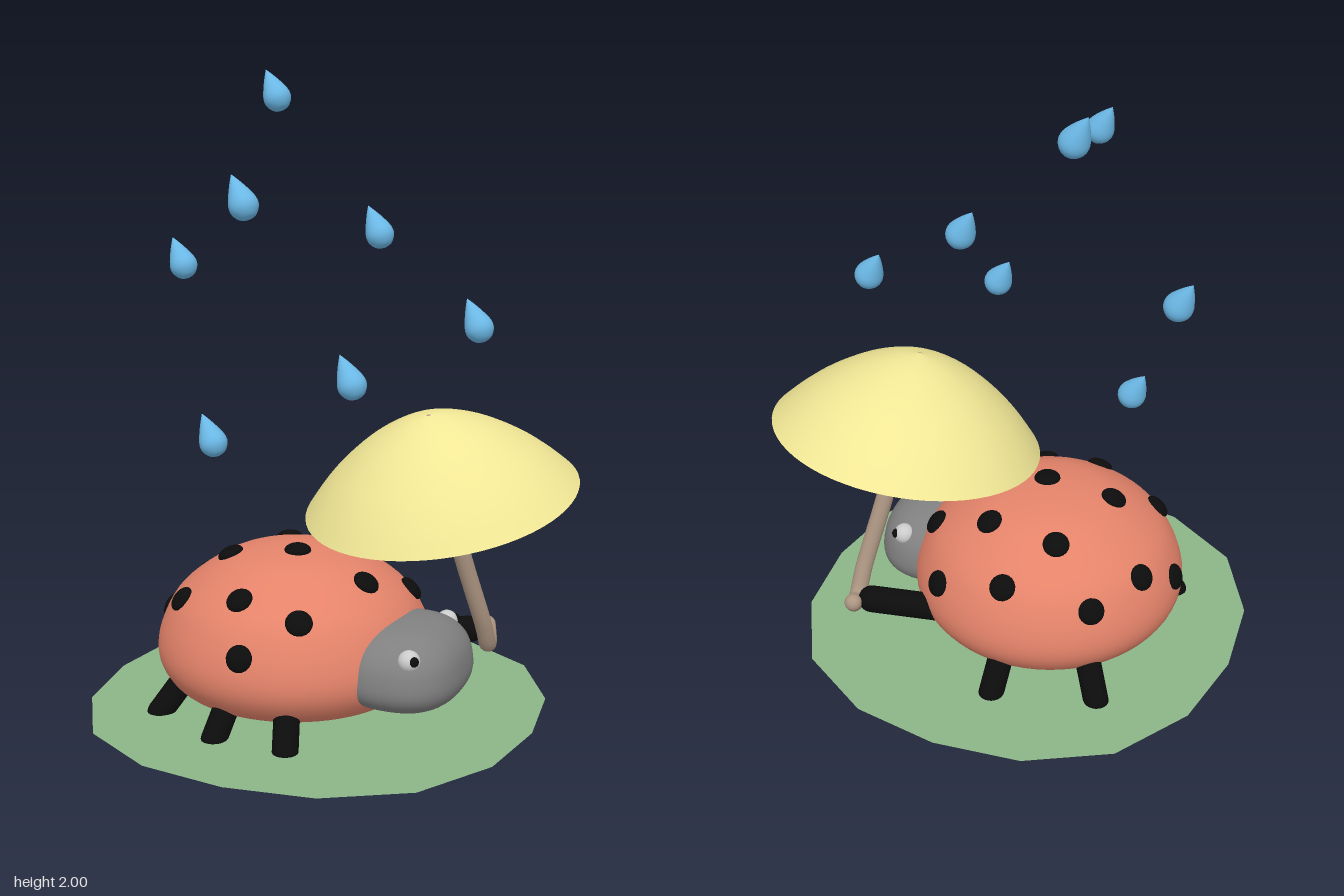
import * as THREE from 'three';

const mat = (color, side = THREE.FrontSide) => new THREE.MeshStandardMaterial({ color, side });
const black = mat(0x0c0c0c);
const V = (x, y, z) => new THREE.Vector3(x, y, z);
const UP = V(0, 1, 0);

// Smooth revolved surface through a few [radius, height] points
function revolve(points, steps, segments) {
  const curve = new THREE.SplineCurve(points.map(p => new THREE.Vector2(...p)));
  const profile = curve.getPoints(steps);
  profile.forEach(p => { p.x = Math.max(p.x, 0); });
  return new THREE.LatheGeometry(profile, segments);
}

export function createModel() {
  const model = new THREE.Group();
  model.name = 'ladybugInRain';
  const add = (name, geometry, material, parent = model) => {
    const mesh = new THREE.Mesh(geometry, material);
    mesh.name = name;
    parent.add(mesh);
    return mesh;
  };

  // Leaf: a flat, slightly uneven sixteen-sided sheet
  const leafShape = new THREE.Shape(Array.from({ length: 16 }, (_, k) => {
    const a = THREE.MathUtils.degToRad(6.4 + 22.5 * k);
    const r = 0.725 + 0.017 * Math.sin(k * Math.PI / 2);
    return new THREE.Vector2(Math.sin(a) * r, Math.cos(a) * r);
  }));
  const leaf = add('leaf', new THREE.ShapeGeometry(leafShape), mat(0x8cb487, THREE.DoubleSide));
  leaf.rotation.x = -Math.PI / 2;
  leaf.position.set(0, 0.042, -0.015);

  // Domed body
  const bodyCentre = V(-0.03, 0, -0.085);
  const bodyProfile = [[0, 0.055], [0.2, 0.062], [0.35, 0.1], [0.415, 0.16], [0.435, 0.235],
    [0.41, 0.33], [0.35, 0.42], [0.22, 0.51], [0.1, 0.543], [0, 0.55]];
  const body = add('body', revolve(bodyProfile, 48, 64), mat(0xe4836a));
  body.position.copy(bodyCentre);

  // Spots: flattened balls set along the upper shell, given as x, z
  const shell = new THREE.SplineCurve(bodyProfile.map(p => new THREE.Vector2(...p)));
  const shellAt = (radius) => {
    let t = 0.46;
    while (t < 0.995 && shell.getPoint(t).x > radius) t += 0.004;
    return { p: shell.getPoint(t), d: shell.getTangent(t) };
  };
  const spots = [[-0.18, -0.48], [-0.02, -0.465], [0.18, -0.425], [-0.33, -0.295], [-0.15, -0.25],
    [0.14, -0.25], [0.32, -0.185], [-0.335, -0.05], [-0.065, -0.045], [-0.43, 0.03], [-0.295, 0.15],
    [-0.02, 0.19], [0.2, 0.2], [0.19, -0.02], [0.36, 0.05]];
  const spotGeometry = new THREE.SphereGeometry(0.042, 20, 14);
  for (const [x, z] of spots) {
    const dx = x - bodyCentre.x, dz = z - bodyCentre.z, r = Math.hypot(dx, dz);
    const { p, d } = shellAt(r);
    const normal = V(d.y * dx / r, -d.x, d.y * dz / r).normalize();
    const spot = add('spot', spotGeometry, black);
    spot.position.set(x, p.y, z);
    spot.scale.y = 0.5;
    spot.quaternion.setFromUnitVectors(UP, normal);
  }

  // Rounded limb between two points
  const limb = (name, from, to, radius) => {
    const span = to.clone().sub(from);
    const mesh = add(name, new THREE.CapsuleGeometry(radius, span.length(), 6, 18), black);
    mesh.position.copy(from).lerp(to, 0.5);
    mesh.quaternion.setFromUnitVectors(UP, span.normalize());
  };
  const feet = [[-0.395, -0.335], [-0.447, -0.06], [-0.385, 0.17], [0.21, -0.475], [0.395, -0.2]];
  for (const [x, z] of feet) {
    const foot = V(x, 0.04, z);
    const hip = bodyCentre.clone().lerp(V(x, 0, z), 0.68).setY(0.22);
    limb('leg', hip, foot, 0.04);
  }
  limb('arm', V(0.33, 0.195, 0.08), V(0.45, 0.21, 0.26), 0.043);

  // Head: a boxy ellipsoid, narrower at the top, turned to its left
  const head = new THREE.Group();
  head.name = 'head';
  head.position.set(0.03, 0.25, 0.31);
  head.rotation.y = 0.31;
  model.add(head);
  const skull = new THREE.SphereGeometry(1, 48, 32);
  const pos = skull.attributes.position;
  const soften = (v) => Math.sign(v) * Math.abs(v) ** 0.8;
  for (let i = 0; i < pos.count; i++) {
    const y = soften(pos.getY(i));
    const taper = 1 - 0.1 * y;
    pos.setXYZ(i, soften(pos.getX(i)) * 0.24 * taper, y * 0.131, soften(pos.getZ(i)) * 0.19 * taper);
  }
  skull.computeVertexNormals();
  add('skull', skull, mat(0x808080), head);

  // Eyes with pupils
  for (const side of [-1, 1]) {
    const look = V(side * 0.62, 0.25, 0.75).normalize();
    const centre = V(side * 0.187, 0.066, 0.07);
    const eye = add('eye', new THREE.SphereGeometry(0.034, 24, 16), mat(0xcccccc), head);
    eye.position.copy(centre);
    const pupil = add('pupil', new THREE.SphereGeometry(0.016, 16, 12), black, head);
    pupil.position.copy(centre).addScaledVector(look, 0.026);
  }

  // Umbrella canopy: thin open dome, tilted
  const canopy = add('umbrellaCanopy', revolve([[0.428, 0], [0.37, 0.067], [0.3, 0.133],
    [0.2, 0.205], [0.09, 0.258], [0, 0.28]], 24, 64), mat(0xf0e695, THREE.DoubleSide));
  canopy.position.set(0.22, 0.72, 0.297);
  canopy.rotation.set(-0.05, 0, 0.212);

  // Umbrella pole with hooked handle and round ends
  const polePath = new THREE.CatmullRomCurve3([V(0.165, 0.965, 0.287), V(0.225, 0.745, 0.303),
    V(0.31, 0.48, 0.33), V(0.395, 0.26, 0.347), V(0.44, 0.18, 0.335), V(0.48, 0.187, 0.31),
    V(0.507, 0.217, 0.287)]);
  const wood = mat(0xac9582);
  add('umbrellaPole', new THREE.TubeGeometry(polePath, 64, 0.028, 16), wood);
  for (const t of [0, 1]) {
    add('poleEnd', new THREE.SphereGeometry(0.028, 16, 12), wood).position.copy(polePath.getPoint(t));
  }

  // Raindrops slanting backwards
  const dropGeometry = revolve([[0, -0.045], [0.024, -0.038], [0.041, -0.016], [0.043, 0.008],
    [0.032, 0.038], [0.016, 0.07], [0, 0.097]], 20, 24);
  const rain = mat(0x6bb8e6);
  const drops = [[0.2, 1.915, -0.345], [-0.355, 1.657, 0], [0.22, 1.515, 0.05], [-0.028, 1.39, -0.547],
    [0.242, 1.262, 0.41], [-0.155, 1.132, 0.237], [-0.21, 0.888, -0.262]];
  for (const p of drops) {
    const drop = add('raindrop', dropGeometry, rain);
    drop.position.set(...p);
    drop.rotation.x = -0.5;
  }

  return model;
}
